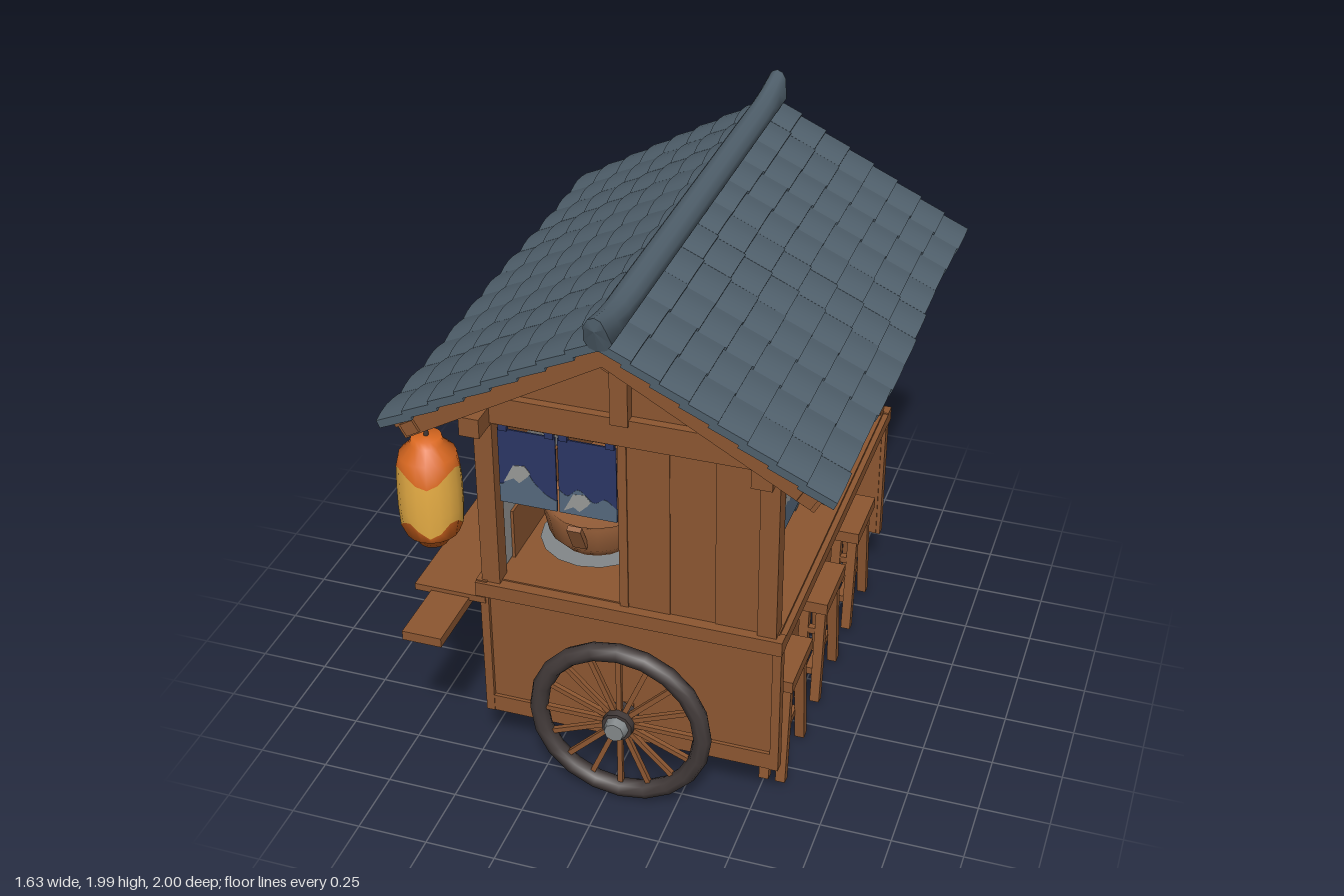
import * as THREE from 'three';
import { mergeGeometries } from 'three/addons/utils/BufferGeometryUtils.js';

const mat = (name, color, extra = {}) => Object.assign(new THREE.MeshStandardMaterial({ color, ...extra }), { name });
const wood = mat('wood', 0x8d5731);
const slate = mat('slate', 0x50606c);
const tyre = mat('tyre', 0x423a39);
const metal = mat('metal', 0x83888a, { side: THREE.DoubleSide });
const navy = mat('navy cloth', 0x2b3665);
const wave = mat('wave blue', 0x56697d);
const foam = mat('pale grey', 0x999a98);
const yellow = mat('lantern yellow', 0xeab046);
const orange = mat('lantern orange', 0xd96820);
const bowlWood = mat('bowl wood', 0x98603a, { side: THREE.DoubleSide });

const V = (x, y, z) => new THREE.Vector3(x, y, z);
function add(parent, name, geo, material, x = 0, y = 0, z = 0) {
  const m = new THREE.Mesh(geo, material);
  m.name = name;
  m.position.set(x, y, z);
  parent.add(m);
  return m;
}
function group(parent, name, x = 0, y = 0, z = 0) {
  const g = new THREE.Group();
  g.name = name;
  g.position.set(x, y, z);
  parent.add(g);
  return g;
}
// Box given by its limits on each axis
const box = (p, name, m, x0, x1, y0, y1, z0, z1) => add(p, name,
  new THREE.BoxGeometry(x1 - x0, y1 - y0, z1 - z0), m, (x0 + x1) / 2, (y0 + y1) / 2, (z0 + z1) / 2);
// Square bar between two points of the parent's space
function bar(p, name, m, a, b, w, h = w) {
  const o = add(p, name, new THREE.BoxGeometry(w, h, a.distanceTo(b)), m);
  o.position.copy(a).add(b).multiplyScalar(0.5);
  o.quaternion.setFromRotationMatrix(new THREE.Matrix4().lookAt(b, a, V(0, 1, 0)));
}
const lathe = (pts, n) => new THREE.LatheGeometry(pts.map(([r, y]) => new THREE.Vector2(r, y)), n);

// Roof: arched tiles in overlapping courses, soffit boards, rafters and ridge
const RX = 0.053, RY = 1.89, PITCH = 0.522, SLOPE = 0.845;
function makeRoof(root) {
  const roof = group(root, 'roof');
  const courses = 8, columns = 11, step = SLOPE / courses, w = 1.9 / columns;
  const tiles = [];
  for (let i = 0; i < courses; i++) for (let j = 0; j < columns; j++) {
    const jitter = 0.007 * Math.sin(i * 12.9 + j * 7.3);
    const t = new THREE.BoxGeometry(step * 1.2, 0.028, w, 1, 1, 4);
    const p = t.attributes.position;
    for (let k = 0; k < p.count; k++) p.setY(k, p.getY(k) + 0.01 * Math.cos(p.getZ(k) / w * Math.PI));
    t.rotateZ(0.1);
    t.translate((i + 0.5) * step + jitter, 0, -0.95 + (j + 0.5) * w);
    t.computeVertexNormals();
    tiles.push(t);
  }
  for (const s of [1, -1]) {
    const place = g => {
      g.rotateZ(-PITCH);
      if (s < 0) g.rotateY(Math.PI);
      return g.translate(RX, RY, 0);
    };
    add(roof, 'roofTiles', place(mergeGeometries(tiles.map(t => t.clone()))), slate);
    add(roof, 'soffit', place(new THREE.BoxGeometry(0.83, 0.02, 1.84).translate(0.415, -0.025, 0)), wood);
    for (const z of [-0.89, 0.89])
      add(roof, 'rafter', place(new THREE.BoxGeometry(0.83, 0.06, 0.06).translate(0.405, -0.05, z)), wood);
    add(roof, 'eaveBeam', place(new THREE.BoxGeometry(0.05, 0.045, 1.86).translate(0.78, -0.05, 0)), wood);
  }
  // Ridge cap sweeping upward at both ends
  const ridge = new THREE.CylinderGeometry(0.048, 0.048, 1.96, 10, 20).rotateX(Math.PI / 2);
  const p = ridge.attributes.position;
  for (let k = 0; k < p.count; k++) {
    const z = p.getZ(k), up = Math.max(0, (Math.abs(z) - 0.72) / 0.26);
    if (p.getY(k) > 0) p.setX(k, p.getX(k) * (1 - 0.25 * up));
    p.setY(k, p.getY(k) + (p.getY(k) > 0 ? 0.035 : 0) * up * up);
    if (p.getY(k) < 0) p.setZ(k, z * (1 - 0.03 * up));
  }
  ridge.computeVertexNormals();
  add(roof, 'ridgeCap', ridge, slate, RX, 1.915, 0);
}

// Cloth panel with a painted wave, facing +z, hanging from y = 0
function makeCurtain(parent, w, x, k) {
  const c = group(parent, 'curtain', x, 0, 0);
  const h = 0.285, a = w / 2;
  add(c, 'cloth', new THREE.BoxGeometry(w, h, 0.006).translate(0, -h / 2, 0), navy);
  for (const s of [-1, 1]) add(c, 'curtainTab', new THREE.BoxGeometry(0.03, 0.03, 0.016), navy, s * (a - 0.02), 0.01, 0);
  // Odd panels carry a low swell, even ones a tall breaker with foam
  const crest = k % 2
    ? [[1, 0.05], [0.6, 0.08], [0.2, 0.06], [-0.3, 0.1], [-0.7, 0.07], [-1, 0.09]]
    : [[1, 0.04], [0.6, 0.06], [0.2, 0.1], [-0.1, 0.15], [-0.5, 0.14], [-0.8, 0.08], [-1, 0.07]];
  const water = new THREE.Shape();
  water.moveTo(-a, -h);
  water.lineTo(a, -h);
  water.lineTo(a, -h + crest[0][1]);
  water.splineThru(crest.slice(1).map(q => new THREE.Vector2(q[0] * a, -h + q[1])));
  water.closePath();
  const plate = (name, shape, depth, m) => add(c, name,
    new THREE.ExtrudeGeometry(shape, { depth, bevelEnabled: false, curveSegments: 4 }).translate(0, 0, -depth / 2), m);
  plate('wavePaint', water, 0.0085, wave);
  const drop = k % 2 ? 0.07 : 0;
  plate('foamPaint', new THREE.Shape([[-0.85, 0.08], [-0.5, 0.1], [-0.3, 0.085], [0, 0.115], [0.1, 0.13], [-0.1, 0.155], [-0.5, 0.15]]
    .map(q => new THREE.Vector2(q[0] * a, -h + q[1] - drop))), 0.0098, foam);
}

function makeWheel(root, s) {
  const w = group(root, 'wheel', 0.05, 0.335, s * 0.815);
  add(w, 'tyre', new THREE.TorusGeometry(0.295, 0.033, 8, 20), tyre);
  for (let i = 0; i < 16; i++) {
    const a = i / 16 * Math.PI * 2, c = Math.cos(a), d = Math.sin(a);
    bar(w, 'spoke', wood, V(c * 0.04, d * 0.04, 0), V(c * 0.28, d * 0.28, 0), 0.018);
  }
  add(w, 'hub', new THREE.CylinderGeometry(0.055, 0.06, 0.07, 10).rotateX(Math.PI / 2), tyre);
  add(w, 'hubCap', new THREE.CylinderGeometry(s > 0 ? 0.035 : 0.05, s > 0 ? 0.05 : 0.035, 0.05, 8).rotateX(Math.PI / 2), metal, 0, 0, s * 0.04);
  bar(w, 'axle', wood, V(0, 0, -s * 0.1), V(0, 0, 0), 0.05);
}

function makeStool(root, x, z, turn = 0) {
  const g = group(root, 'stool', x, 0, z);
  g.rotation.y = turn;
  box(g, 'seat', wood, -0.06, 0.06, 0.42, 0.465, -0.13, 0.13);
  for (const s of [-1, 1]) {
    for (const t of [-1, 1]) bar(g, 'stoolLeg', wood, V(t * 0.03, 0.025, s * 0.128), V(t * 0.03, 0.43, s * 0.082), 0.035);
    bar(g, 'endRung', wood, V(-0.03, 0.32, s * 0.095), V(0.03, 0.32, s * 0.095), 0.025);
  }
  bar(g, 'longRung', wood, V(0, 0.145, -0.12), V(0, 0.145, 0.12), 0.028);
}

function makeLantern(root, z) {
  const g = group(root, 'lantern', -0.59, 0.965, z);
  // Colour borders at these two heights ripple around the lantern
  const part = (name, m, pts) => {
    const geo = lathe(pts, 18), p = geo.attributes.position;
    for (let k = 0; k < p.count; k++) {
      const y = p.getY(k), a = Math.atan2(p.getZ(k), p.getX(k));
      if (Math.abs(y - 0.095) < 1e-4) p.setY(k, y + 0.025 * Math.sin(4 * a));
      if (Math.abs(y - 0.29) < 1e-4) p.setY(k, y + 0.028 * Math.sin(3 * a + 1));
    }
    add(g, name, geo, m);
  };
  part('lanternBottom', orange, [[0, 0], [0.05, 0], [0.055, 0.025], [0.09, 0.045], [0.104, 0.095]]);
  part('lanternBody', yellow, [[0.104, 0.095], [0.108, 0.15], [0.108, 0.23], [0.105, 0.29]]);
  part('lanternTop', orange, [[0.105, 0.29], [0.095, 0.345], [0.055, 0.385], [0.05, 0.41], [0, 0.41]]);
  add(g, 'lanternCord', new THREE.CylinderGeometry(0.008, 0.008, 0.1, 6), tyre, 0, 0.45, 0);
}

// Bowl, tray of dumplings, bucket and plates
function makeFood(root) {
  const g = group(root, 'food', 0, 0.775, 0);
  add(g, 'bowlPlate', new THREE.CylinderGeometry(0.2, 0.18, 0.014, 16), metal, -0.17, 0.008, 0.4);
  add(g, 'bowl', lathe([[0, 0.015], [0.13, 0.015], [0.17, 0.06], [0.19, 0.16], [0.175, 0.16], [0.15, 0.14], [0, 0.14]], 18), bowlWood, -0.17, 0, 0.4);
  add(g, 'bowlLid', new THREE.CylinderGeometry(0.05, 0.06, 0.03, 10), bowlWood, -0.17, 0.155, 0.4);
  for (const s of [-1, 1])
    bar(g, 'bowlHandle', bowlWood, V(-0.17, 0.08, 0.4 + s * 0.17), V(-0.17, 0.185, 0.4 + s * 0.225), 0.05, 0.02);
  box(g, 'tray', slate, 0.22, 0.44, 0, 0.035, -0.42, 0.03);
  for (let i = 0; i < 5; i++) for (const x of [0.28, 0.38])
    add(g, 'dumpling', new THREE.SphereGeometry(0.034, 8, 6).scale(1, 0.8, 1), metal, x, 0.045, -0.35 + i * 0.075);
  add(g, 'sidePlate', new THREE.CylinderGeometry(0.08, 0.07, 0.012, 12), slate, 0.33, 0.006, 0.22);
  add(g, 'bucket', lathe([[0, 0.01], [0.06, 0.01], [0.08, 0.06], [0.09, 0.2], [0.08, 0.2], [0.07, 0.06], [0, 0.04]], 14), metal, 0.25, 0, -0.55);
}

export function createModel() {
  const root = new THREE.Group();
  root.name = 'foodCart';

  // Cart body, recessed on the stool side
  const body = group(root, 'cartBody');
  box(body, 'lowerBody', wood, -0.45, 0.465, 0.215, 0.72, -0.72, 0.72);
  box(body, 'counter', wood, -0.46, 0.58, 0.715, 0.775, -0.73, 0.73);
  box(body, 'counterLip', wood, 0.56, 0.6, 0.72, 0.765, -0.76, 0.76);
  box(body, 'backLip', wood, -0.48, -0.44, 0.715, 0.775, -0.76, 0.76);
  for (const s of [-1, 1]) {
    const end = group(body, 'cartEnd');
    const slab = (name, x0, x1, y0, y1, zc, t) => box(end, name, wood, x0, x1, y0, y1, s * zc - t / 2, s * zc + t / 2);
    slab('endPanel', -0.45, 0.58, 0.215, 0.72, 0.725, 0.03);
    slab('endRail', -0.48, 0.6, 0.715, 0.77, 0.745, 0.05);
    slab('baseRail', -0.47, 0.595, 0.21, 0.275, 0.74, 0.025);
    slab('cornerTrim', -0.47, -0.44, 0.21, 0.72, 0.735, 0.04);
    slab('cornerTrim', 0.565, 0.595, 0.21, 0.72, 0.735, 0.04);
    // Upper frame and closed boards
    slab('rearPost', -0.46, -0.395, 0.77, 1.5, 0.72, 0.065);
    slab('counterPost', 0.51, 0.575, 0.77, 1.5, 0.72, 0.065);
    slab('doorPost', 0.03, 0.06, 0.77, 1.43, 0.72, 0.04);
    for (let i = 0; i < 3; i++)
      slab('wallBoard', 0.05 + i * 0.155, 0.205 + i * 0.155, 0.77, 1.43, 0.72 - (i % 2) * 0.004, 0.03);
    slab('tieBeam', -0.47, 0.585, 1.42, 1.52, 0.735, 0.06);
    slab('kingPost', 0.02, 0.08, 1.5, 1.83, 0.75, 0.05);
    for (const t of [-1, 1]) bar(end, 'gableBrace', wood, V(RX, 1.68, s * 0.745), V(RX + t * 0.13, 1.76, s * 0.745), 0.04);
    const gable = new THREE.Shape([[-0.5, 1.5], [0.6, 1.5], [RX, 1.85]].map(q => new THREE.Vector2(...q)));
    add(end, 'gable', new THREE.ExtrudeGeometry(gable, { depth: 0.03, bevelEnabled: false }), wood, 0, 0, s * 0.72 - 0.015);
    // Window curtains
    const hang = group(end, 'windowCurtains', -0.18, 1.385, s * 0.73);
    if (s < 0) hang.rotation.y = Math.PI;
    for (const i of [0, 1]) makeCurtain(hang, 0.2, (i - 0.5) * 0.208, i);
    bar(hang, 'curtainRod', wood, V(-0.22, 0.02, 0), V(0.22, 0.02, 0), 0.012);
  }
  for (const x of [-0.43, 0.54]) box(body, 'sideBeam', wood, x - 0.035, x + 0.035, 1.41, 1.48, -0.85, 0.85);

  // Closed rear wall with horizontal boards, splashback inside
  for (let i = 0; i < 5; i++)
    box(body, 'rearBoard', wood, -0.445 + (i % 2) * 0.006, -0.415, 0.775 + i * 0.13, 0.905 + i * 0.13, -0.7, 0.7);
  box(body, 'splashback', foam, -0.417, -0.41, 0.78, 1.17, -0.69, 0.69);
  box(body, 'splashboard', wood, -0.412, -0.4, 0.775, 0.965, -0.66, 0.6);

  // Counter curtains
  const long = group(root, 'counterCurtains', 0.55, 1.39, 0);
  long.rotation.y = Math.PI / 2;
  for (let i = 0; i < 5; i++) makeCurtain(long, 0.255, (i - 2) * 0.263, i);
  bar(long, 'curtainRod', wood, V(-0.69, 0.02, 0), V(0.69, 0.02, 0), 0.012);

  // Rear shelf with long plank and brackets
  const shelf = group(root, 'rearShelf');
  box(shelf, 'shelfBoard', wood, -0.71, -0.45, 0.68, 0.705, -0.76, 0.76);
  box(shelf, 'longPlank', wood, -0.65, -0.51, 0.655, 0.69, -1, 1);
  const bracket = new THREE.Shape([[-0.44, 0.53], [-0.44, 0.67], [-0.66, 0.67], [-0.64, 0.645], [-0.52, 0.62], [-0.48, 0.54]].map(q => new THREE.Vector2(...q)));
  for (const z of [-0.6, 0, 0.6])
    add(shelf, 'bracket', new THREE.ExtrudeGeometry(bracket, { depth: 0.05, bevelEnabled: false }), wood, 0, 0, z - 0.025);

  makeRoof(root);
  for (const s of [-1, 1]) {
    makeWheel(root, s);
    makeLantern(root, s * 0.83);
  }
  for (const z of [-0.46, 0, 0.46]) makeStool(root, 0.535, z);
  makeStool(root, -0.685, -0.01, Math.PI / 4);
  makeFood(root);
  return root;
}
